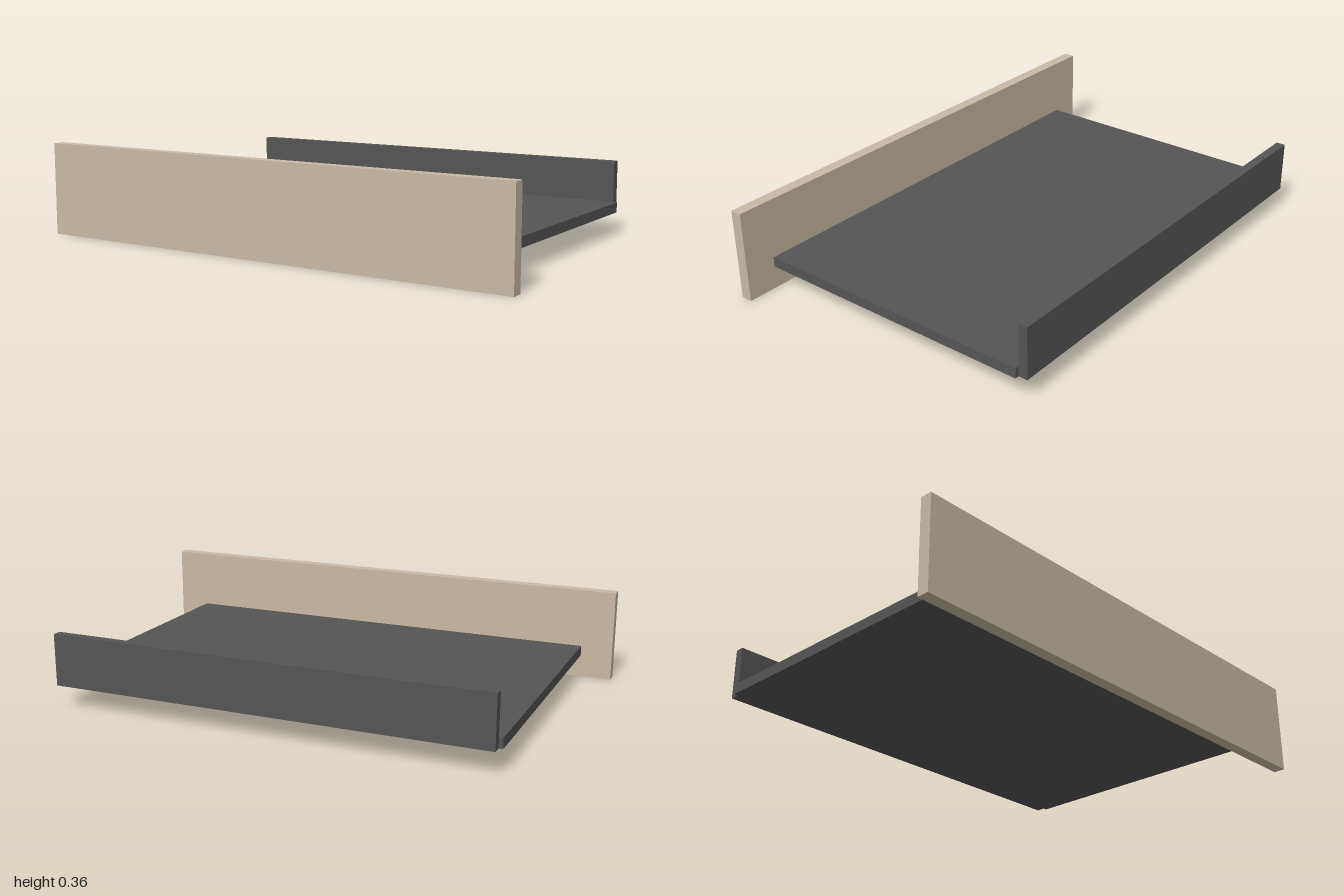
import * as THREE from 'three';

export function createModel() {
  const group = new THREE.Group();
  const beige = new THREE.MeshStandardMaterial({ color: 0xc8baa4 });
  beige.name = 'beige front';
  const grey = new THREE.MeshStandardMaterial({ color: 0x555555 });
  grey.name = 'dark grey';

  // Adds a panel centred on x, spanning the given heights and depths
  function panel(name, material, width, y0, y1, z0, z1) {
    const mesh = new THREE.Mesh(new THREE.BoxGeometry(width, y1 - y0, z1 - z0), material);
    mesh.name = name;
    mesh.position.set(0, (y0 + y1) / 2, (z0 + z1) / 2);
    group.add(mesh);
  }

  // Drawer: front board, bottom board and low back board
  panel('drawerFront', beige, 2, 0, 0.363, 0.571, 0.617);
  panel('drawerBottom', grey, 1.748, 0.089, 0.129, -0.581, 0.571);
  panel('drawerBack', grey, 1.716, 0.089, 0.291, -0.617, -0.581);

  return group;
}
